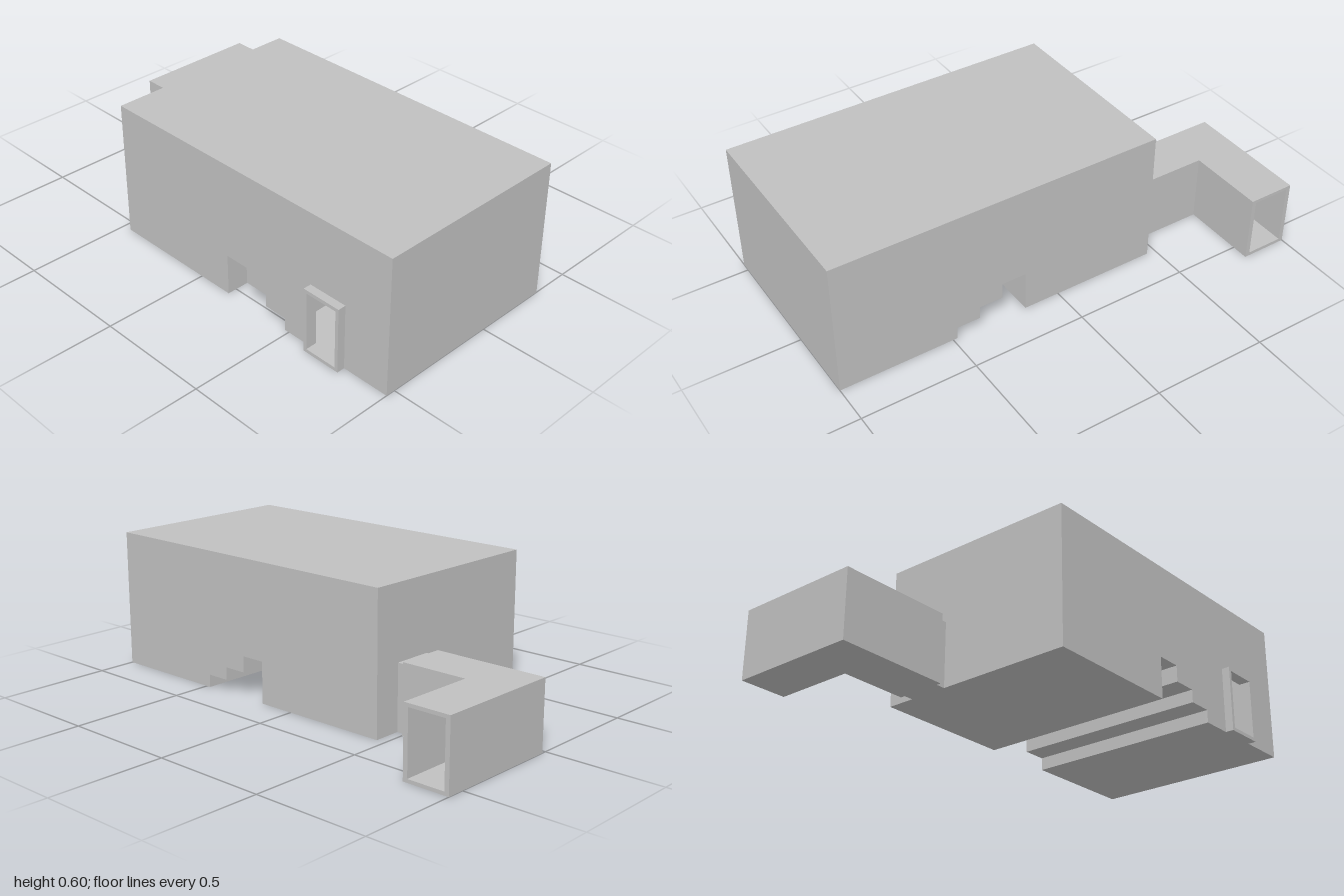
import * as THREE from 'three';

const T = 0.015; // wall thickness
const X0 = -0.46, X1 = 1, H = 0.595, Z0 = -0.33, Z1 = 0.54;

export function createModel() {
  const model = new THREE.Group();
  const grey = new THREE.MeshStandardMaterial({ color: 0xc0c0c0 });

  const add = (name, geometry, parent = model) => {
    const mesh = new THREE.Mesh(geometry, grey);
    mesh.name = name;
    parent.add(mesh);
    return mesh;
  };
  const group = (name) => {
    const g = new THREE.Group();
    g.name = name;
    model.add(g);
    return g;
  };
  // box given by its minimum and maximum corners
  const box = (name, a, b, parent) => add(name,
    new THREE.BoxGeometry(b[0] - a[0], b[1] - a[1], b[2] - a[2])
      .translate((a[0] + b[0]) / 2, (a[1] + b[1]) / 2, (a[2] + b[2]) / 2), parent);
  const shapeOf = (points) => new THREE.Shape(points.map(([x, y]) => new THREE.Vector2(x, y)));
  const rect = (x0, y0, x1, y1) => [[x0, y0], [x1, y0], [x1, y1], [x0, y1]];
  const extrude = (points, depth, hole) => {
    const s = shapeOf(points);
    if (hole) s.holes.push(shapeOf(hole));
    return new THREE.ExtrudeGeometry(s, { depth, bevelEnabled: false });
  };
  // plan outline in x and z, extruded from y0 up to y1
  const plan = (points, y0, y1) =>
    extrude(points, y1 - y0).rotateX(Math.PI / 2).translate(0, y1, 0);

  // Main room: hollow, its floor folded into a flight of steps
  const room = group('mainRoom');
  const underside = [[X0, 0], [0.16, 0], [0.16, 0.18], [0.27, 0.18], [0.27, 0.11],
    [0.375, 0.11], [0.375, 0.055], [0.48, 0.055], [0.48, 0], [X1, 0]];
  const floorTop = underside.map(([x, y], i) => {
    const end = i === 0 || i === underside.length - 1;
    return [end ? x : x + (x < 0.2 ? -T : T), y + T];
  }).reverse();
  const endWall = [...underside, [X1, H], [X0, H]];

  add('steppedFloor', extrude([...underside, ...floorTop], Z1 - Z0 - 2 * T)
    .translate(0, 0, Z0 + T), room);
  add('backWall', extrude(endWall, T).translate(0, 0, Z0), room);
  add('frontWall', extrude(endWall, T, rect(0.615 + T, T, 0.79 - T, 0.285 - T))
    .translate(0, 0, Z1 - T), room);
  add('sideWallWithDoor', extrude(rect(Z0 + T, T, Z1 - T, H - T), T,
    rect(-0.21 + T, T, -0.04 - T, 0.28 - T))
    .rotateY(-Math.PI / 2).translate(X0 + T, 0, 0), room);
  box('sideWall', [X1 - T, T, Z0 + T], [X1, H - T, Z1 - T], room);
  box('roof', [X0, H - T, Z0 + T], [X1, H, Z1 - T], room);

  // Door frames: short open sleeves
  add('frontDoorFrame', extrude(rect(0.615, 0, 0.79, 0.285), 0.035,
    rect(0.615 + T, T, 0.79 - T, 0.285 - T)).translate(0, 0, Z1));
  add('corridorDoorFrame', extrude(rect(-0.21, 0, -0.04, 0.28), 0.04,
    rect(-0.21 + T, T, -0.04 - T, 0.28 - T))
    .rotateY(-Math.PI / 2).translate(X0, 0, 0));

  // L-shaped corridor, open at both ends
  const corridor = group('corridor');
  const W = 0.02, CH = 0.295;
  const outline = [[-1, -0.575], [-0.795, -0.575], [-0.795, -0.23],
    [-0.5, -0.23], [-0.5, -0.02], [-1, -0.02]];
  add('corridorFloor', plan(outline, 0, T), corridor);
  add('corridorRoof', plan(outline, CH - T, CH), corridor);
  add('corridorOuterWall', plan([[-1, -0.575], [-1 + W, -0.575], [-1 + W, -0.02 - W],
    [-0.5, -0.02 - W], [-0.5, -0.02], [-1, -0.02]], T, CH - T), corridor);
  add('corridorInnerWall', plan([[-0.795 - W, -0.575], [-0.795, -0.575], [-0.795, -0.23],
    [-0.5, -0.23], [-0.5, -0.23 + W], [-0.795 - W, -0.23 + W]], T, CH - T), corridor);

  return model;
}
